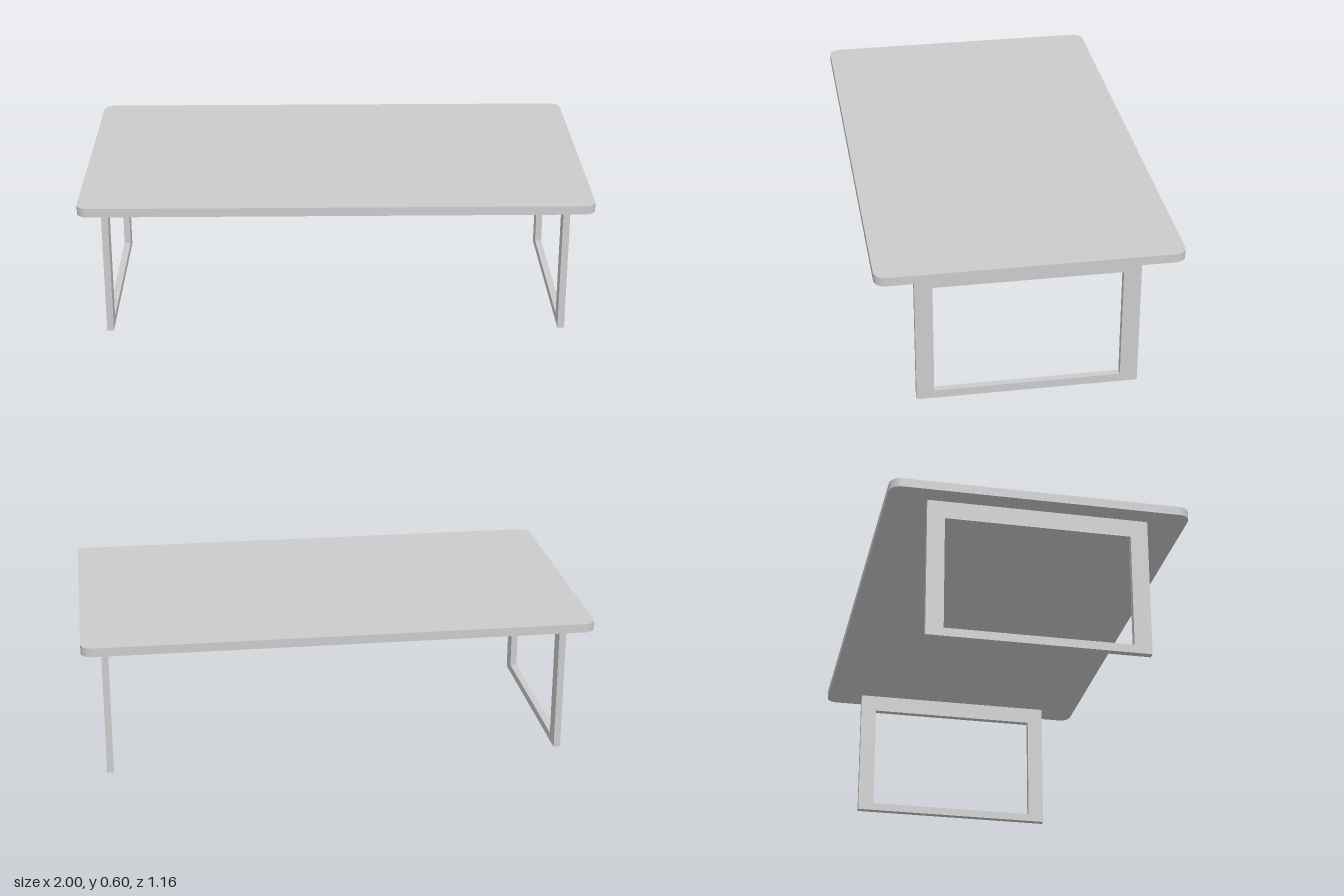
import * as THREE from 'three';
import { toCreasedNormals } from 'three/addons/utils/BufferGeometryUtils.js';

const TOP_Y = 0.598, TOP_THICK = 0.035;
const LEG_H = TOP_Y - TOP_THICK, LEG_THICK = 0.027, LEG_X = 0.909;

function rectPath(path, x0, y0, x1, y1) {
  path.moveTo(x0, y0).lineTo(x1, y0).lineTo(x1, y1).lineTo(x0, y1).closePath();
  return path;
}

function roundedRect(hw, hd, r) {
  const s = new THREE.Shape();
  s.absarc(hw - r, hd - r, r, 0, Math.PI / 2);
  s.absarc(-hw + r, hd - r, r, Math.PI / 2, Math.PI);
  s.absarc(-hw + r, -hd + r, r, Math.PI, Math.PI * 1.5);
  s.absarc(hw - r, -hd + r, r, Math.PI * 1.5, Math.PI * 2);
  s.closePath();
  return s;
}

export function createModel() {
  const group = new THREE.Group();
  group.name = 'coffeeTable';
  const material = new THREE.MeshStandardMaterial({ color: 0xcccccc });

  // Table top: slab with rounded corners
  const topGeo = new THREE.ExtrudeGeometry(roundedRect(1, 0.58, 0.045), {
    depth: TOP_THICK, bevelEnabled: false, curveSegments: 8,
  });
  topGeo.rotateX(-Math.PI / 2);
  const top = new THREE.Mesh(toCreasedNormals(topGeo, Math.PI / 6), material);
  top.name = 'tableTop';
  top.position.y = LEG_H;
  group.add(top);

  // Leg frames: flat rectangular loops, one at each end
  const frame = rectPath(new THREE.Shape(), -0.428, 0, 0.428, LEG_H);
  frame.holes.push(rectPath(new THREE.Path(), -0.36, 0.033, 0.36, 0.491));
  const legGeo = new THREE.ExtrudeGeometry(frame, { depth: LEG_THICK, bevelEnabled: false });
  legGeo.translate(0, 0, -LEG_THICK / 2).rotateY(Math.PI / 2);
  for (const side of [1, -1]) {
    const leg = new THREE.Mesh(legGeo, material);
    leg.name = side > 0 ? 'leftLegFrame' : 'rightLegFrame';
    leg.position.x = side * LEG_X;
    group.add(leg);
  }
  return group;
}
